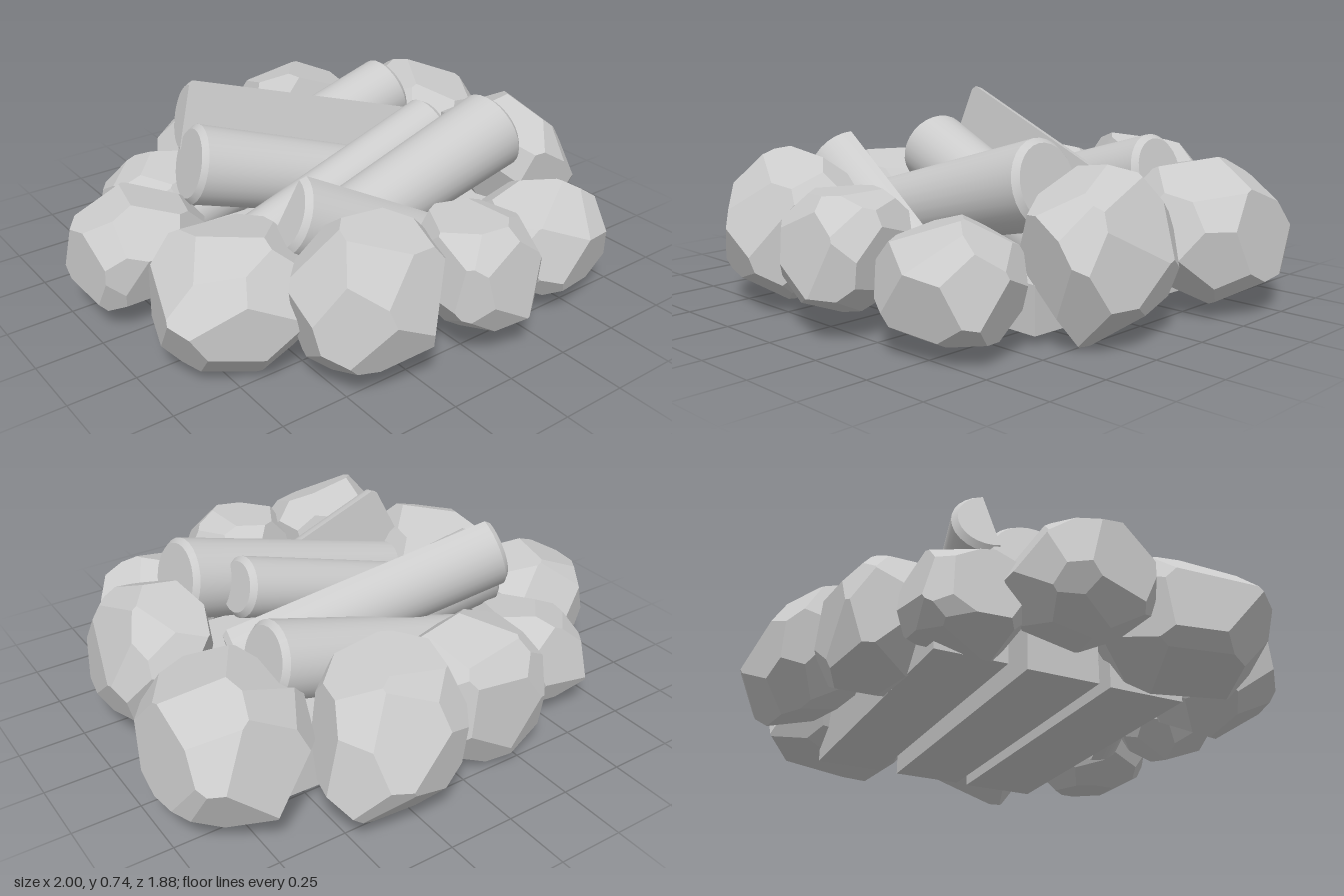
import * as THREE from 'three';
import { toCreasedNormals } from 'three/addons/utils/BufferGeometryUtils.js';
import { ConvexGeometry } from 'three/addons/geometries/ConvexGeometry.js';

const material = new THREE.MeshStandardMaterial({ color: 0xcccccc });
const stoneMaterial = new THREE.MeshStandardMaterial({ color: 0xcccccc, flatShading: true });

function seeded(seed) {
  let s = seed * 7919 + 17;
  return () => (s = (s * 16807) % 2147483647) / 2147483647;
}

// Chunky faceted boulder: corners of a rounded block cut by planes, its top leaning to the fire
function stoneGeometry(seed, [x0, x1], [y0, y1], [z0, z1], lean) {
  const rand = seeded(seed);
  rand();
  const count = 26;
  const planes = [];
  for (let i = 0; i < count; i++) {
    const y = 1 - (2 * (i + 0.5)) / count;
    const a = i * 2.39996 + seed;
    const r = Math.sqrt(1 - y * y);
    const n = new THREE.Vector3(r * Math.cos(a), y, r * Math.sin(a));
    n.add(new THREE.Vector3(rand() - 0.5, rand() - 0.5, rand() - 0.5).multiplyScalar(0.4)).normalize();
    const reach = n.toArray().reduce((sum, c) => sum + Math.abs(c) ** 1.48, 0) ** (1 / 1.48);
    planes.push(new THREE.Plane(n, -reach * (0.95 + 0.06 * rand())));
  }
  const out = new THREE.Vector2(x0 + x1, z0 + z1).normalize();
  const corners = [];
  const m = new THREE.Matrix3();
  for (let i = 0; i < count; i++)
    for (let j = i + 1; j < count; j++)
      for (let k = j + 1; k < count; k++) {
        const [a, b, c] = [planes[i], planes[j], planes[k]];
        m.set(...a.normal.toArray(), ...b.normal.toArray(), ...c.normal.toArray());
        if (Math.abs(m.determinant()) < 1e-3) continue;
        const p = new THREE.Vector3(-a.constant, -b.constant, -c.constant).applyMatrix3(m.invert());
        if (planes.every((q) => q.distanceToPoint(p) < 1e-6)) corners.push(p);
      }
  for (const p of corners) {
    p.x -= lean * out.x * p.y;
    p.z -= lean * out.y * p.y;
  }
  const box = new THREE.Box3().setFromPoints(corners);
  const size = box.getSize(new THREE.Vector3());
  for (const p of corners) {
    p.sub(box.min).divide(size);
    p.set(x0 + p.x * (x1 - x0), y0 + p.y * (y1 - y0), z0 + p.z * (z1 - z0));
  }
  return new ConvexGeometry(corners);
}

// Side outline of a log with small bevels at both ends
function logProfile(length, r0, r1) {
  const b = 0.02;
  return [[0, 0], [r0 - b, 0], [r0, b], [r1, length - b], [r1 - b, length], [0, length]]
    .map(([x, y]) => new THREE.Vector2(x, y));
}

// Log from point a to point b; a split log has a flat face towards the front (1) or back (-1)
function makeLog(name, a, b, r0, r1, splitFacing = 0) {
  const start = new THREE.Vector3(...a);
  const dir = new THREE.Vector3(...b).sub(start);
  const profile = logProfile(dir.length(), r0, r1);
  const group = new THREE.Group();
  group.name = name;
  const bark = splitFacing
    ? new THREE.LatheGeometry(profile, 14, Math.PI / 2, Math.PI)
    : new THREE.LatheGeometry(profile, 28);
  const barkMesh = new THREE.Mesh(toCreasedNormals(bark, 0.6), material);
  barkMesh.name = name + 'Bark';
  group.add(barkMesh);
  if (splitFacing) {
    const mirrored = profile.map((p) => new THREE.Vector2(-p.x, p.y)).reverse();
    const face = new THREE.Mesh(new THREE.ShapeGeometry(new THREE.Shape([...profile, ...mirrored])), material);
    face.name = name + 'SplitFace';
    group.add(face);
  }
  const yAxis = dir.normalize();
  const zAxis = new THREE.Vector3(0, 0.15, splitFacing || 1);
  zAxis.addScaledVector(yAxis, -zAxis.dot(yAxis)).normalize();
  const xAxis = new THREE.Vector3().crossVectors(yAxis, zAxis);
  group.quaternion.setFromRotationMatrix(new THREE.Matrix4().makeBasis(xAxis, yAxis, zAxis));
  group.position.copy(start);
  return group;
}

export function createModel() {
  const model = new THREE.Group();
  model.name = 'campfire';

  // Ring of stones: x, y and z extents, and lean towards the fire
  const stones = [
    ['backLeftBoulder', [0.47, 1.0], [0.03, 0.54], [-0.71, -0.04], 0.15],
    ['leftStone', [0.51, 0.94], [0.01, 0.58], [-0.1, 0.47], 0.25],
    ['frontLeftStone', [0.2, 0.74], [0.03, 0.44], [0.39, 0.86], 0.05],
    ['frontStone', [-0.15, 0.27], [0.05, 0.48], [0.52, 0.94], 0.15],
    ['frontRightStone', [-0.62, -0.06], [0.01, 0.57], [0.44, 0.9], 0.15],
    ['rightBoulder', [-0.96, -0.34], [0.01, 0.47], [-0.02, 0.61], 0.1],
    ['backRightBoulder', [-1.0, -0.5], [0.03, 0.45], [-0.41, 0.08], 0.1],
    ['smallBackRightStone', [-0.73, -0.34], [0.02, 0.4], [-0.66, -0.24], 0.25],
    ['backStone', [-0.47, 0.1], [0.0, 0.51], [-0.79, -0.37], 0.15],
    ['tallBackStone', [0.0, 0.57], [0.04, 0.57], [-0.94, -0.45], 0.35],
  ];
  stones.forEach(([name, x, y, z, lean], i) => {
    const stone = new THREE.Mesh(stoneGeometry(i + 1, x, y, z, lean), stoneMaterial);
    stone.name = name;
    model.add(stone);
  });

  // Flat slabs on the ground, side by side: z centre and width
  const slabs = [['backSlab', -0.41, 0.26], ['middleSlab', -0.07, 0.27], ['frontSlab', 0.26, 0.29]];
  for (const [name, z, width] of slabs) {
    const slab = new THREE.Mesh(new THREE.BoxGeometry(1.18, 0.17, width), material);
    slab.name = name;
    slab.position.set(0.06, 0.12, z);
    slab.rotation.y = -0.03;
    model.add(slab);
  }

  // Lower logs rising to the left
  model.add(makeLog('backLog', [-0.47, 0.2, -0.36], [0.56, 0.48, -0.35], 0.12, 0.14));
  model.add(makeLog('middleLog', [-0.48, 0.24, 0.1], [0.41, 0.51, 0.1], 0.1, 0.115));
  model.add(makeLog('frontLog', [-0.47, 0.24, 0.3], [0.57, 0.51, 0.28], 0.12, 0.155));

  // Upper logs leaning the other way
  model.add(makeLog('crossLog', [-0.51, 0.48, -0.2], [0.4, 0.2, 0.0], 0.15, 0.13));
  model.add(makeLog('splitLog', [-0.45, 0.61, -0.32], [0.53, 0.33, -0.06], 0.14, 0.14, 1));
  model.add(makeLog('shortSplitLog', [-0.45, 0.48, 0.33], [0.22, 0.15, 0.46], 0.15, 0.13, -1));

  return model;
}
